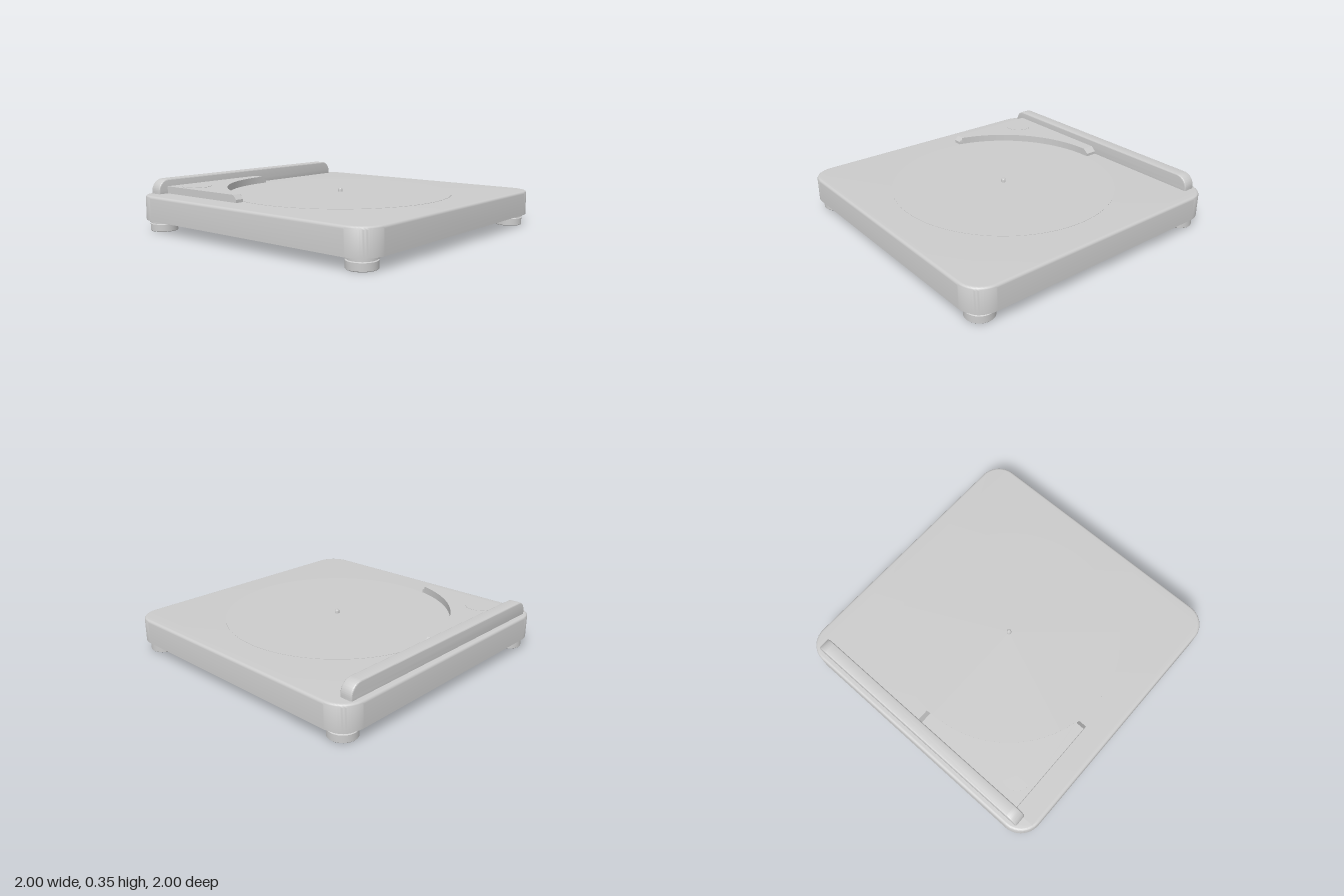
import * as THREE from 'three';
import { toCreasedNormals } from 'three/addons/utils/BufferGeometryUtils.js';

const material = new THREE.MeshStandardMaterial({ color: 0xcccccc });

function part(name, geometry, x = 0, y = 0, z = 0) {
  const mesh = new THREE.Mesh(geometry, material);
  mesh.name = name;
  mesh.position.set(x, y, z);
  return mesh;
}

function lathe(pairs, segments = 48) {
  const points = pairs.map(([r, y]) => new THREE.Vector2(r, y));
  return toCreasedNormals(new THREE.LatheGeometry(points, segments), 0.6);
}

// Rectangle with separate radii for its lower and upper corners
function roundedRect(x0, y0, x1, y1, low, high) {
  const s = new THREE.Shape();
  s.moveTo(x0 + low, y0);
  s.lineTo(x1 - low, y0);
  if (low) s.absarc(x1 - low, y0 + low, low, -Math.PI / 2, 0);
  s.lineTo(x1, y1 - high);
  s.absarc(x1 - high, y1 - high, high, 0, Math.PI / 2);
  s.lineTo(x0 + high, y1);
  s.absarc(x0 + high, y1 - high, high, Math.PI / 2, Math.PI);
  s.lineTo(x0, y0 + low);
  if (low) s.absarc(x0 + low, y0 + low, low, Math.PI, Math.PI * 1.5);
  return s;
}

// Square base with rounded corners and a softened upper edge
function baseGeometry() {
  const e = 0.018;
  const g = new THREE.ExtrudeGeometry(roundedRect(-1 + e, -1 + e, 1 - e, 1 - e, 0.14, 0.14), {
    depth: 0.17 - 2 * e, bevelThickness: e, bevelSize: e, bevelSegments: 4, curveSegments: 12,
  });
  g.rotateX(-Math.PI / 2).translate(0, 0.08 + e, 0);
  // square off the lower bevel so the underside edge stays sharp
  const p = g.attributes.position;
  for (let i = 0; i < p.count; i++) if (p.getY(i) < 0.08 + e + 0.001) p.setY(i, 0.08);
  // push the flattened bevel rings out to the full outline
  const c = 1 - 0.158;
  for (let i = 0; i < p.count; i++) {
    if (p.getY(i) > 0.081) continue;
    const x = p.getX(i), z = p.getZ(i);
    const dx = Math.max(Math.abs(x) - c, 0), dz = Math.max(Math.abs(z) - c, 0);
    const d = Math.hypot(dx, dz);
    if (d < 0.1) continue;
    p.setX(i, Math.sign(x) * (Math.min(Math.abs(x), c) + dx * 0.158 / d));
    p.setZ(i, Math.sign(z) * (Math.min(Math.abs(z), c) + dz * 0.158 / d));
  }
  return toCreasedNormals(g, 0.6);
}

// Raised corner plate with a concave arc and sloping ends
function cornerPlateGeometry() {
  const s = new THREE.Shape();
  s.moveTo(-0.83, 0.89);
  s.lineTo(-0.83, 0.17);
  s.lineTo(-0.771, 0.17);
  s.absarc(0, 0, 0.79, Math.PI - 0.217, Math.PI / 2, true);
  s.lineTo(0.04, 0.79);
  s.lineTo(0.04, 0.89);
  const g = new THREE.ExtrudeGeometry(s, { depth: 0.06, steps: 4, bevelEnabled: false, curveSegments: 24 });
  g.rotateX(-Math.PI / 2).translate(0, 0.24, 0);
  const p = g.attributes.position;
  for (let i = 0; i < p.count; i++) {
    const t = Math.max(0, (p.getY(i) - 0.27) / 0.03);
    if (p.getZ(i) > -0.18) p.setZ(i, p.getZ(i) - 0.03 * t);
    if (p.getX(i) > 0.02) p.setX(i, p.getX(i) - 0.038 * t);
  }
  return toCreasedNormals(g, 0.6);
}

// Upright rail with rounded upper corners
function railGeometry() {
  const e = 0.008;
  const g = new THREE.ExtrudeGeometry(roundedRect(-0.9 + e, 0.24, 0.9 - e, 0.35 - e, 0, 0.075), {
    depth: 0.085 - 2 * e, bevelThickness: e, bevelSize: e, bevelSegments: 3, curveSegments: 12,
  });
  return toCreasedNormals(g.translate(0, 0, -0.96 + e), 0.6);
}

export function createModel() {
  const model = new THREE.Group();
  model.name = 'turntable';

  model.add(part('base', baseGeometry()));
  model.add(part('backRail', railGeometry()));
  model.add(part('cornerPlate', cornerPlateGeometry()));

  // Flush round platter, button and centre spindle
  model.add(part('platter', lathe([[0, 0], [0.78, 0], [0.78, 0.012], [0, 0.012]], 96), 0, 0.24, 0));
  model.add(part('button', lathe([[0, 0], [0.1, 0], [0.1, 0.012], [0, 0.012]]), -0.7, 0.29, -0.72));
  model.add(part('spindle', lathe([[0.016, 0], [0.016, 0.022], [0.011, 0.03], [0, 0.033]], 16), 0, 0.248, 0));

  // Four stepped feet
  const foot = lathe([[0, 0], [0.09, 0], [0.094, 0.004], [0.094, 0.05], [0.086, 0.054],
    [0.086, 0.06], [0.099, 0.062], [0.099, 0.085]]);
  for (const x of [-0.87, 0.87]) {
    for (const z of [-0.87, 0.87]) model.add(part('foot', foot, x, 0, z));
  }
  return model;
}
